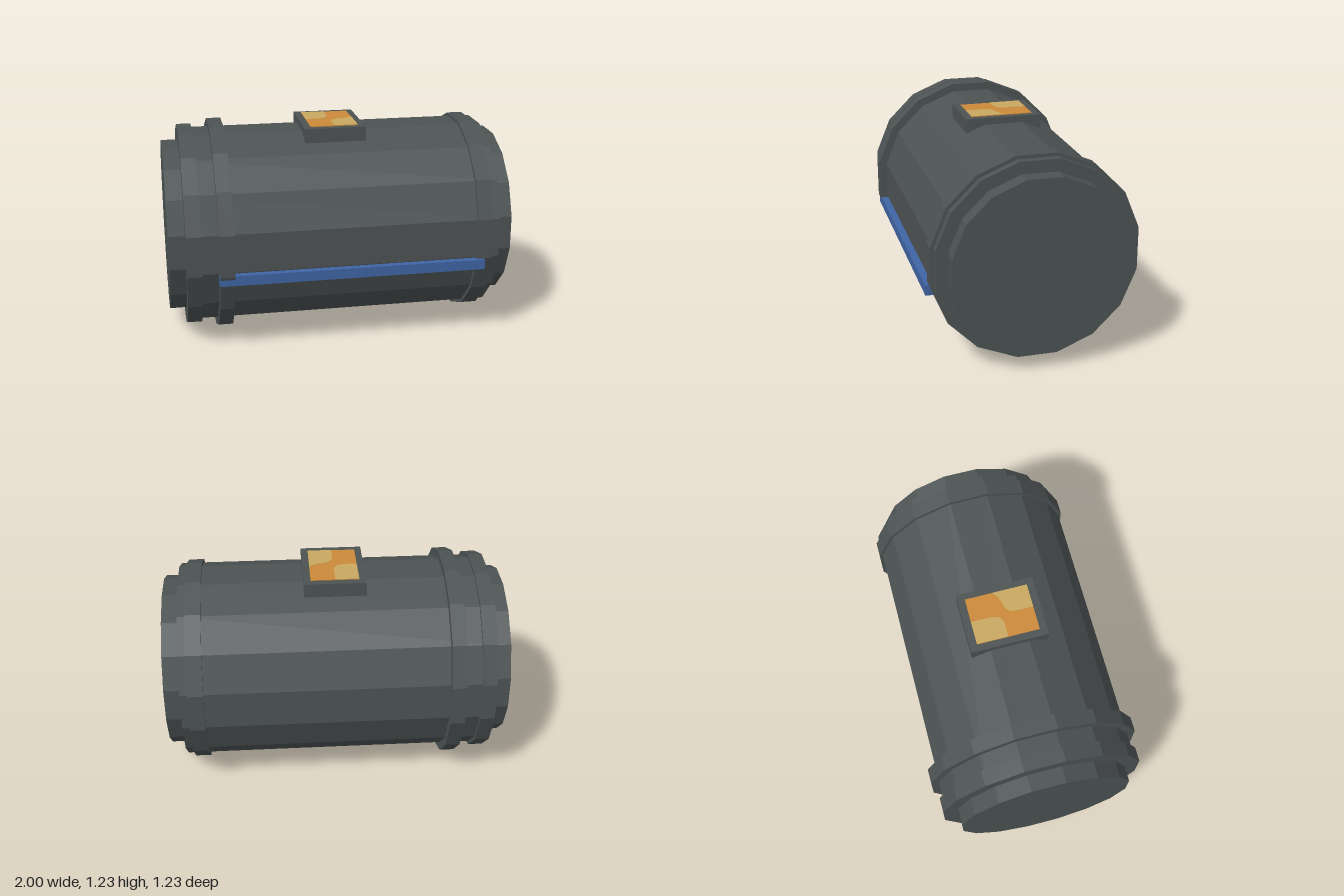
import * as THREE from 'three';

const CENTER_Y = 0.62;
const SIDES = 16;

const makeMaterial = (name, color) => {
  const m = new THREE.MeshStandardMaterial({ color, flatShading: true });
  m.name = name;
  return m;
};

export function createModel() {
  const grey = makeMaterial('gunmetal grey', 0x4d5353);
  const blue = makeMaterial('strip blue', 0x4064a4);
  const orange = makeMaterial('panel orange', 0xcb8a38);
  const tan = makeMaterial('panel tan', 0xcaa860);

  const model = new THREE.Group();
  model.name = 'canister';

  const add = (name, geometry, material, x = 0, y = 0, z = 0) => {
    const mesh = new THREE.Mesh(geometry, material);
    mesh.name = name;
    mesh.position.set(x, y, z);
    model.add(mesh);
  };

  // Sixteen-sided drum along x, measured across its flats
  const drum = (name, x0, x1, apothem) => {
    const r = apothem / Math.cos(Math.PI / SIDES);
    const g = new THREE.CylinderGeometry(r, r, x1 - x0, SIDES, 1, false, Math.PI / SIDES);
    g.rotateZ(Math.PI / 2);
    add(name, g, grey, (x0 + x1) / 2, CENTER_Y);
  };
  drum('endCaps', -1, 1, 0.5);
  drum('barrel', -0.9, 0.905, 0.57);
  drum('outerRingRight', -0.905, -0.82, 0.59);
  drum('tallRingRight', -0.725, -0.64, 0.617);
  drum('ringLeft', 0.77, 0.86, 0.59);

  // Box given by its lower and upper corners
  const box = (name, a, b, material) => add(
    name,
    new THREE.BoxGeometry(b[0] - a[0], b[1] - a[1], b[2] - a[2]),
    material,
    ...a.map((v, i) => (v + b[i]) / 2),
  );
  box('frontStrip', [-0.727, 0.443, 0.54], [0.812, 0.502, 0.61], blue);
  box('panelHousing', [-0.18, 1.145, -0.225], [0.18, 1.229, 0.225], grey);
  box('panelPlate', [-0.14, 1.225, -0.182], [0.14, 1.233, 0.182], orange);

  // Thin tan patches with one softened corner, drawn in x and -z
  const patch = (name, draw) => {
    const shape = new THREE.Shape();
    draw(shape);
    const g = new THREE.ExtrudeGeometry(shape, { depth: 0.002, bevelEnabled: false, curveSegments: 8 });
    g.rotateX(-Math.PI / 2);
    add(name, g, tan, 0, 1.233, 0);
  };
  patch('backPatch', (s) => {
    s.moveTo(-0.14, 0.182);
    s.lineTo(-0.14, 0);
    s.lineTo(-0.06, 0);
    s.quadraticCurveTo(-0.005, 0.005, -0.002, 0.07);
    s.lineTo(-0.002, 0.182);
  });
  patch('frontPatch', (s) => {
    s.moveTo(0, -0.182);
    s.lineTo(0.14, -0.182);
    s.lineTo(0.14, 0.027);
    s.quadraticCurveTo(0.11, -0.012, 0.06, -0.017);
    s.quadraticCurveTo(0.005, -0.025, 0, -0.08);
  });

  return model;
}
